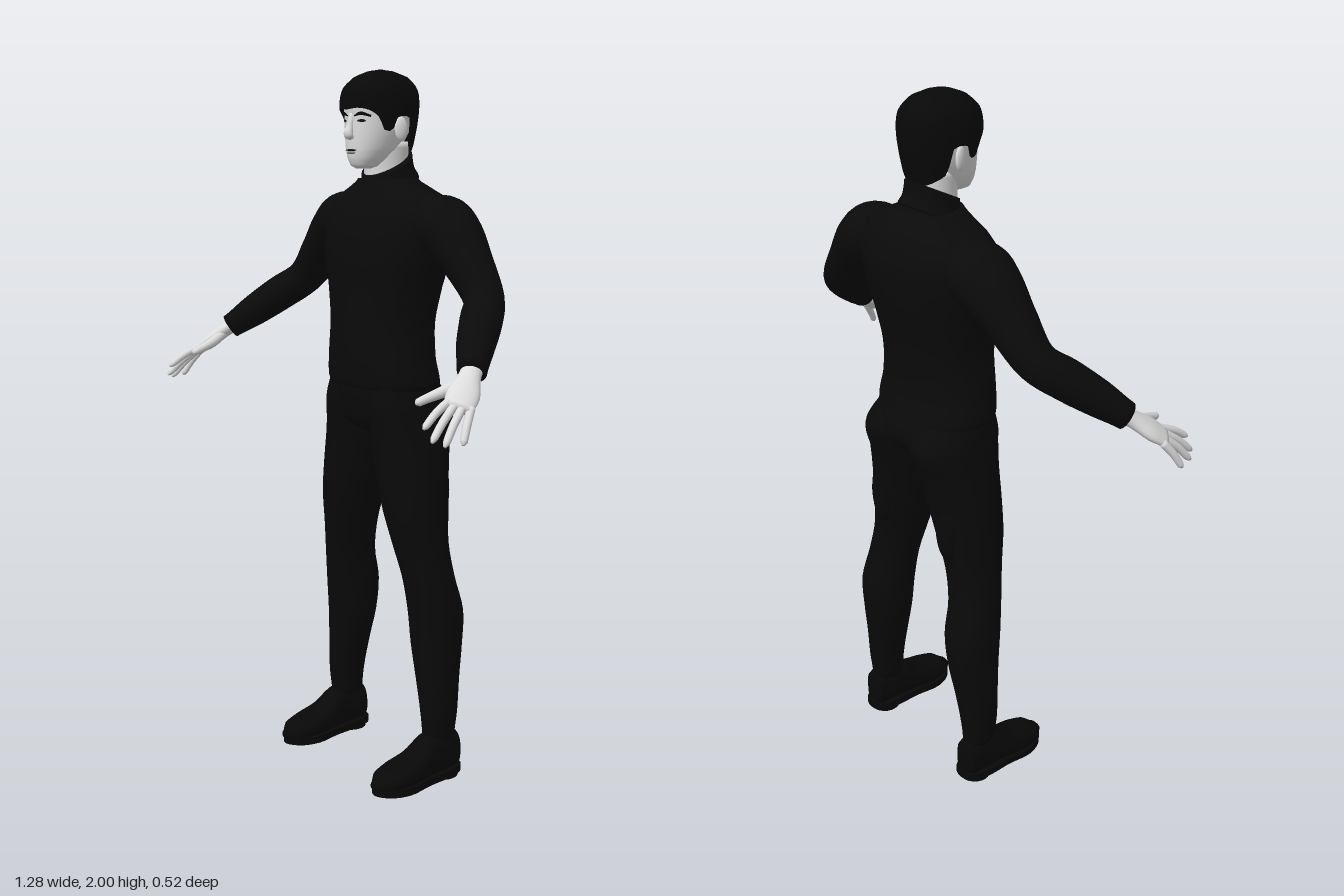
import * as THREE from 'three';

const mat = (name, color, side = THREE.FrontSide) => {
  const m = new THREE.MeshStandardMaterial({ color, side });
  m.name = name;
  return m;
};

// Smooth closed surface through rings of points, with both ends capped
function skinRings(rings, caps = true) {
  const n = rings[0].length, pos = [], idx = [];
  rings.forEach(r => r.forEach(p => pos.push(p.x, p.y, p.z)));
  for (let i = 0; i < rings.length - 1; i++) for (let j = 0; j < n; j++) {
    const a = i * n + j, b = i * n + (j + 1) % n, c = a + n, d = b + n;
    idx.push(a, c, b, b, c, d);
  }
  if (caps) [0, rings.length - 1].forEach((i, top) => {
    const c = new THREE.Vector3();
    rings[i].forEach(p => c.addScaledVector(p, 1 / n));
    const k = pos.length / 3;
    pos.push(c.x, c.y, c.z);
    for (let j = 0; j < n; j++) {
      const a = i * n + j, b = i * n + (j + 1) % n;
      if (top) idx.push(k, b, a); else idx.push(k, a, b);
    }
  });
  const g = new THREE.BufferGeometry();
  g.setAttribute('position', new THREE.Float32BufferAttribute(pos, 3));
  g.setIndex(idx);
  g.computeVertexNormals();
  return g;
}

// Catmull-Rom lookup in a table whose first column ascends
function sample(table, key) {
  let i = 0;
  while (i < table.length - 2 && key > table[i + 1][0]) i++;
  const p = o => table[THREE.MathUtils.clamp(i + o, 0, table.length - 1)];
  const t = THREE.MathUtils.clamp((key - p(0)[0]) / (p(1)[0] - p(0)[0]), 0, 1);
  return p(0).map((b, k) => {
    if (k === 0) return key;
    const a = p(-1)[k], c = p(1)[k], d = p(2)[k];
    return b + 0.5 * t * (c - a + t * (2 * a - 5 * b + 4 * c - d + t * (3 * (b - c) + d - a)));
  });
}

// Point on a rounded section [y, x0, x1, zFront, zBack]
function ringPoint([y, x0, x1, zf, zb], th, e = 2) {
  const c = Math.cos(th), s = Math.sin(th), q = v => Math.sign(v) * Math.abs(v) ** (2 / e);
  return new THREE.Vector3((x0 + x1) / 2 + (x1 - x0) / 2 * q(c), y, (zf + zb) / 2 + (zf - zb) / 2 * q(s));
}

function loft(table, e = 2, seg = 36, sub = 4) {
  const rings = [];
  for (let i = 0; i < table.length - 1; i++) for (let s = 0; s < sub + (i === table.length - 2 ? 1 : 0); s++) {
    const sec = sample(table, THREE.MathUtils.lerp(table[i][0], table[i + 1][0], s / sub));
    rings.push(Array.from({ length: seg }, (_, j) => ringPoint(sec, j / seg * Math.PI * 2, e)));
  }
  return skinRings(rings);
}
const sym = table => table.map(([y, rx, zf, zb]) => [y, -rx, rx, zf, zb]);

// Tapered limb through points [x, y, z, ru, rv]; ru lies along ref
function limb(points, ref, seg = 20, sub = 5) {
  const curve = new THREE.CatmullRomCurve3(points.map(p => new THREE.Vector3(p[0], p[1], p[2])));
  const radii = points.map((p, i) => [i, p[3], p[4] ?? p[3]]);
  const n = (points.length - 1) * sub, rings = [];
  for (let i = 0; i <= n; i++) {
    const c = curve.getPoint(i / n), T = curve.getTangent(i / n);
    const U = new THREE.Vector3(...ref).addScaledVector(T, -T.dot(new THREE.Vector3(...ref))).normalize();
    const V = U.clone().cross(T);
    const [, ru, rv] = sample(radii, i / sub);
    rings.push(Array.from({ length: seg }, (_, j) => {
      const a = j / seg * Math.PI * 2;
      return c.clone().addScaledVector(U, Math.cos(a) * ru).addScaledVector(V, Math.sin(a) * rv);
    }));
  }
  return skinRings(rings);
}

function mirrored(geo) {
  const g = geo.clone().scale(-1, 1, 1), ix = g.index;
  const count = ix ? ix.count : g.attributes.position.count;
  const order = Array.from({ length: count }, (_, i) => i - i % 3 + [0, 2, 1][i % 3]);
  g.setIndex(order.map(i => ix ? ix.getX(i) : i));
  return g;
}

export function createModel() {
  const root = new THREE.Group();
  const cloth = mat('black sweater', 0x0a0a0a), trouser = mat('black trousers', 0x090909);
  const leather = mat('black leather', 0x080808), skin = mat('pale skin', 0xdcdcdc);
  const hairMat = mat('black hair', 0x080808, THREE.DoubleSide), lip = mat('grey lips', 0x8c8c8c);
  const dark = mat('dark eyes', 0x141414);
  const add = (name, geo, m) => {
    const mesh = new THREE.Mesh(geo, m);
    mesh.name = name;
    root.add(mesh);
  };
  const pair = (name, geo, m) => {
    add('left' + name, geo, m);
    add('right' + name, mirrored(geo), m);
  };
  const ball = (x, y, z, a, b, c, tilt = 0) =>
    new THREE.SphereGeometry(1, 16, 12).scale(a, b, c).rotateY(tilt).translate(x, y, z);

  // Sweater
  add('torso', loft(sym([
    [1.14, 0.18, 0.018, -0.228], [1.16, 0.184, 0.022, -0.226], [1.22, 0.174, 0.026, -0.216], [1.32, 0.164, 0.026, -0.22],
    [1.42, 0.18, 0.026, -0.237], [1.5, 0.203, 0.028, -0.252], [1.57, 0.213, 0.02, -0.26],
    [1.62, 0.213, 0.003, -0.252], [1.66, 0.185, -0.018, -0.236], [1.685, 0.13, -0.03, -0.215],
    [1.71, 0.085, -0.04, -0.19]]), 2.3, 48), cloth);
  const collar = loft(sym([[1.68, 0.088, -0.028, -0.2], [1.71, 0.076, -0.038, -0.186], [1.752, 0.07, -0.042, -0.18]]), 2);
  const cp = collar.attributes.position;
  for (let i = 0; i < cp.count; i++) cp.setY(i, cp.getY(i) - (cp.getZ(i) + 0.11) * 0.5);
  collar.computeVertexNormals();
  add('collar', collar, cloth);
  pair('Sleeve', limb([
    [0.12, 1.615, -0.13, 0.075, 0.055], [0.2, 1.59, -0.135, 0.09, 0.083], [0.25, 1.56, -0.135, 0.083, 0.079],
    [0.31, 1.5, -0.13, 0.07, 0.064], [0.39, 1.41, -0.115, 0.055, 0.052], [0.44, 1.36, -0.058, 0.056, 0.051],
    [0.49, 1.305, 0.008, 0.049, 0.046], [0.537, 1.257, 0.062, 0.038, 0.036]], [0, 0, 1], 28), cloth);

  // Trousers
  add('pelvis', loft(sym([
    [1.0, 0.025, -0.05, -0.13], [1.03, 0.12, -0.005, -0.2], [1.07, 0.18, 0.008, -0.242],
    [1.12, 0.184, 0.014, -0.242], [1.2, 0.165, 0.012, -0.2]]), 2.2), trouser);
  pair('TrouserLeg', loft([
    [0.12, 0.177, 0.252, -0.087, -0.188], [0.2, 0.17, 0.26, -0.08, -0.195], [0.3, 0.148, 0.262, -0.075, -0.204],
    [0.4, 0.124, 0.265, -0.07, -0.216], [0.5, 0.115, 0.265, -0.062, -0.221], [0.6, 0.108, 0.25, -0.048, -0.198],
    [0.7, 0.084, 0.232, -0.028, -0.191], [0.8, 0.054, 0.224, -0.01, -0.203], [0.9, 0.024, 0.215, -0.005, -0.215],
    [1.0, 0.002, 0.201, 0, -0.235], [1.06, 0, 0.192, 0.007, -0.256], [1.1, 0.003, 0.184, 0.01, -0.25],
    [1.16, 0.03, 0.16, 0, -0.2]], 2.15), trouser);
  // Flat pocket at the back of each thigh
  pair('ThighPocket', ball(0.14, 0.84, -0.19, 0.04, 0.1, 0.026), trouser);

  // Boots, lofted from heel to toe
  const upper = [
    [-0.2, 0.19, 0.24, 0.03, 0.1], [-0.19, 0.179, 0.254, 0.018, 0.132], [-0.14, 0.175, 0.259, 0.014, 0.145],
    [-0.09, 0.171, 0.262, 0.014, 0.138], [-0.04, 0.164, 0.27, 0.014, 0.1], [0.02, 0.159, 0.273, 0.014, 0.08],
    [0.07, 0.17, 0.262, 0.014, 0.066], [0.1, 0.195, 0.235, 0.02, 0.045]];
  pair('Boot', loft(upper.map(([z, a, b, lo, hi]) => [z, a, b, -lo, -hi]), 2.5).rotateX(Math.PI / 2), leather);
  const outline = [[0.215, 0.102], [0.257, 0.075], [0.278, 0.02], [0.269, -0.06], [0.264, -0.15], [0.245, -0.2],
    [0.185, -0.2], [0.168, -0.15], [0.163, -0.06], [0.153, 0.02], [0.173, 0.075]].map(p => new THREE.Vector3(p[0], p[1], 0));
  const solePts = new THREE.CatmullRomCurve3(outline, true).getPoints(44).slice(0, -1).map(p => new THREE.Vector2(p.x, p.y));
  pair('Sole', new THREE.ExtrudeGeometry(new THREE.Shape(solePts), { depth: 0.022, bevelEnabled: false })
    .rotateX(Math.PI / 2).translate(0, 0.03, 0), leather);
  pair('Heel', new THREE.CylinderGeometry(0.047, 0.047, 0.02, 24).translate(0.215, 0.01, -0.153), leather);

  // Hands
  const spread = [0.05, -0.02, -0.04];
  pair('Palm', limb([[0.525, 1.27, 0.045, 0.027, 0.022], [0.545, 1.245, 0.078, 0.029, 0.02],
    [0.568, 1.213, 0.118, 0.041, 0.019], [0.588, 1.183, 0.155, 0.037, 0.014]], spread), skin);
  [['Index', [0.563, 1.197, 0.162], [0.58, 1.147, 0.256]], ['Middle', [0.579, 1.19, 0.157], [0.603, 1.117, 0.25]],
    ['Ring', [0.594, 1.183, 0.147], [0.621, 1.106, 0.225]], ['Little', [0.608, 1.175, 0.133], [0.634, 1.106, 0.178]]]
    .forEach(([name, a, b]) => {
      const at = (t, lift, r) => [...a.map((v, k) => v + (b[k] - v) * t + (k === 1 ? lift : 0)), r];
      pair(name + 'Finger', limb([at(-0.15, 0, 0.011), at(0.5, 0.006, 0.0105), at(0.9, 0.001, 0.009), at(1, 0, 0.004)], spread, 12), skin);
    });
  pair('Thumb', limb([[0.542, 1.238, 0.085, 0.015], [0.523, 1.217, 0.135, 0.015], [0.512, 1.203, 0.18, 0.012],
    [0.508, 1.194, 0.211, 0.01], [0.507, 1.191, 0.217, 0.004]], [1, 0, 0], 14), skin);

  // Head and neck
  add('neck', loft(sym([[1.68, 0.06, -0.045, -0.17], [1.74, 0.058, -0.045, -0.172], [1.81, 0.06, -0.04, -0.17]])), skin);
  add('head', loft(sym([
    [1.738, 0.018, -0.006, -0.05], [1.745, 0.034, 0.006, -0.075], [1.765, 0.049, 0.014, -0.11], [1.79, 0.062, 0.017, -0.14],
    [1.83, 0.074, 0.017, -0.165], [1.87, 0.081, 0.016, -0.18], [1.91, 0.084, 0.018, -0.187],
    [1.95, 0.076, 0.005, -0.18], [1.98, 0.05, -0.03, -0.15], [1.99, 0.015, -0.07, -0.11]]), 2.15), skin);
  add('nose', limb([[0, 1.82, 0.014, 0.013, 0.008], [0, 1.828, 0.024, 0.014, 0.012], [0, 1.85, 0.017, 0.009, 0.011],
    [0, 1.882, 0.01, 0.009, 0.008]], [1, 0, 0], 14), skin);
  pair('Ear', ball(0.084, 1.843, -0.09, 0.009, 0.032, 0.019, -0.25), skin);
  pair('Eye', ball(0.033, 1.864, 0.006, 0.014, 0.005, 0.004, 0.4), dark);
  pair('Eyebrow', limb([[0.013, 1.877, 0.013, 0.003], [0.034, 1.883, 0.008, 0.005], [0.057, 1.876, -0.008, 0.003]], [0, 1, 0], 10), hairMat);
  add('mouth', ball(0, 1.787, 0.015, 0.023, 0.0025, 0.006), dark);
  add('lowerLip', ball(0, 1.781, 0.014, 0.017, 0.005, 0.006), lip);

  // Hair cap: the lower edge runs along the fringe, sideburns, ears and nape
  const hairSections = sym([
    [1.76, 0.066, 0, -0.172], [1.8, 0.078, 0.018, -0.184], [1.86, 0.09, 0.026, -0.194], [1.91, 0.094, 0.03, -0.198],
    [1.95, 0.087, 0.02, -0.192], [1.98, 0.062, -0.012, -0.165], [1.995, 0.03, -0.05, -0.125], [2, 0.004, -0.083, -0.09]]);
  const edge = [[0, 1.893], [0.4, 1.897], [0.75, 1.89], [1.0, 1.872], [1.12, 1.842], [1.38, 1.84], [1.46, 1.872],
    [1.85, 1.87], [1.95, 1.81], [2.4, 1.785], [3.15, 1.768]];
  const rows = 20, seg = 72, rings = [];
  for (let i = 0; i <= rows; i++) rings.push(Array.from({ length: seg }, (_, j) => {
    const th = j / seg * Math.PI * 2, fromFront = Math.abs(Math.atan2(Math.cos(th), Math.sin(th)));
    const y = THREE.MathUtils.lerp(sample(edge, fromFront)[1], 2, 1 - (1 - i / rows) ** 2);
    return ringPoint(sample(hairSections, y), th, 2.15);
  }));
  add('hair', skinRings(rings, false), hairMat);
  return root;
}
